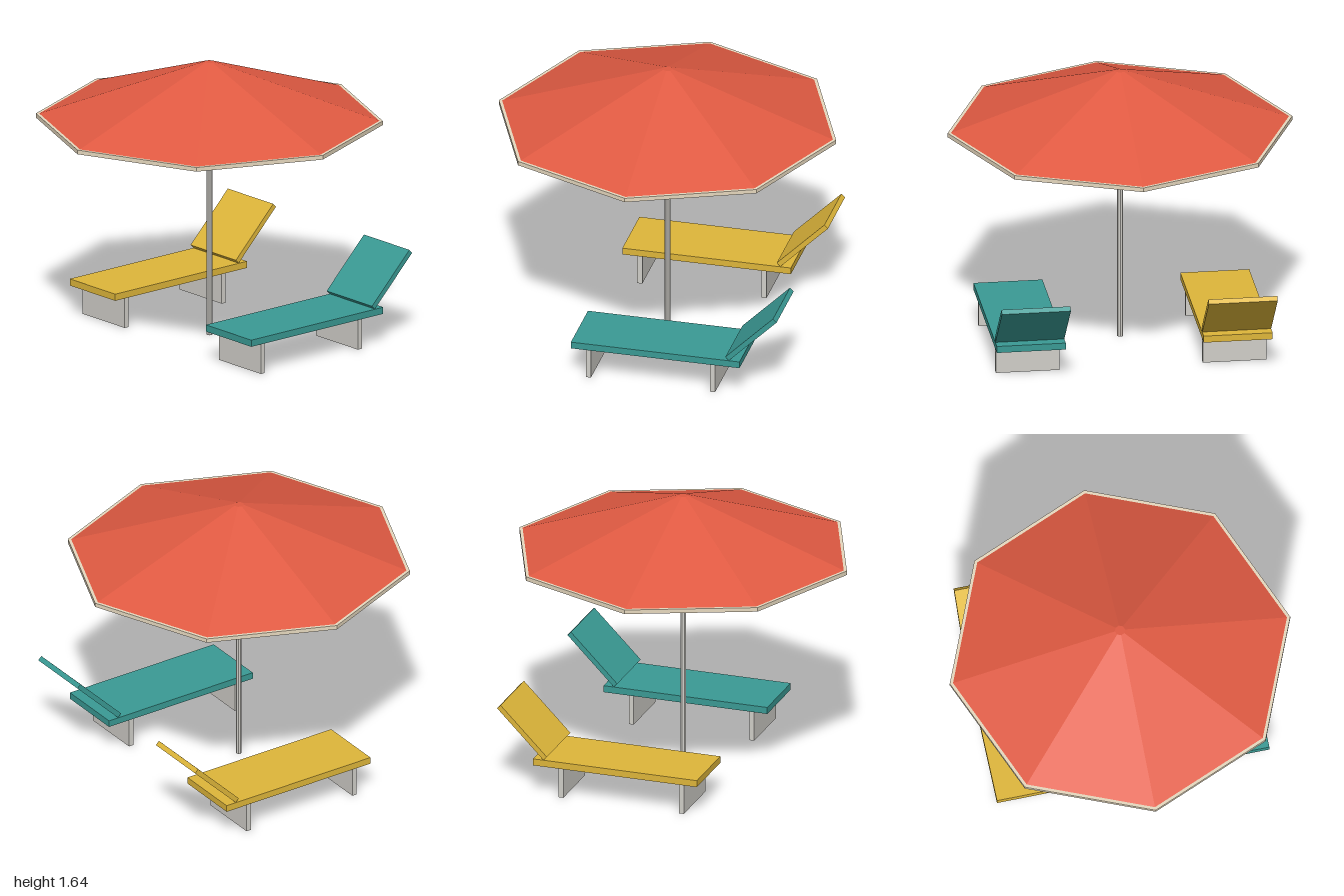
import * as THREE from 'three';

const material = (name, color, flatShading = false) => {
  const m = new THREE.MeshStandardMaterial({ color, flatShading });
  m.name = name;
  return m;
};

function addMesh(parent, name, geometry, mat, x, y, z) {
  const mesh = new THREE.Mesh(geometry, mat);
  mesh.name = name;
  mesh.position.set(x, y, z);
  parent.add(mesh);
  return mesh;
}

// Slab seat, tilted backrest and two panel legs
function createLounger(name, fabric, frame) {
  const lounger = new THREE.Group();
  lounger.name = name;
  addMesh(lounger, 'seat', new THREE.BoxGeometry(0.4, 0.04, 1), fabric, 0, 0.203, -0.13);
  const back = addMesh(lounger, 'backrest', new THREE.BoxGeometry(0.4, 0.03, 0.4), fabric, 0, 0.376, -0.698);
  back.rotation.x = Math.PI / 4;
  for (const [legName, z] of [['frontLeg', 0.27], ['rearLeg', -0.466]]) {
    addMesh(lounger, legName, new THREE.BoxGeometry(0.37, 0.183, 0.03), frame, 0, 0.0915, z);
  }
  return lounger;
}

export function createModel() {
  const model = new THREE.Group();
  model.name = 'parasolAndLoungers';
  const red = material('canopyRed', 0xe05a42, true);
  const cream = material('rimCream', 0xe6d8be, true);
  const grey = material('frameGrey', 0xd0cec8, true);
  const yellow = material('loungerYellow', 0xdeb63a);
  const teal = material('loungerTeal', 0x3a9a94);

  // Octagonal parasol
  const parasol = new THREE.Group();
  parasol.name = 'parasol';
  addMesh(parasol, 'pole', new THREE.CylinderGeometry(0.017, 0.017, 1.29, 8), grey, 0, 0.645, 0);
  addMesh(parasol, 'rim', new THREE.CylinderGeometry(1, 1, 0.025, 8), cream, 0, 1.293, 0);
  addMesh(parasol, 'canopy', new THREE.CylinderGeometry(0.03, 0.985, 0.335, 8), red, 0, 1.4715, 0);
  model.add(parasol);

  // Loungers either side of the pole
  for (const [name, fabric, x] of [['leftLounger', teal, 0.6], ['rightLounger', yellow, -0.6]]) {
    const lounger = createLounger(name, fabric, grey);
    lounger.position.x = x;
    model.add(lounger);
  }
  return model;
}
